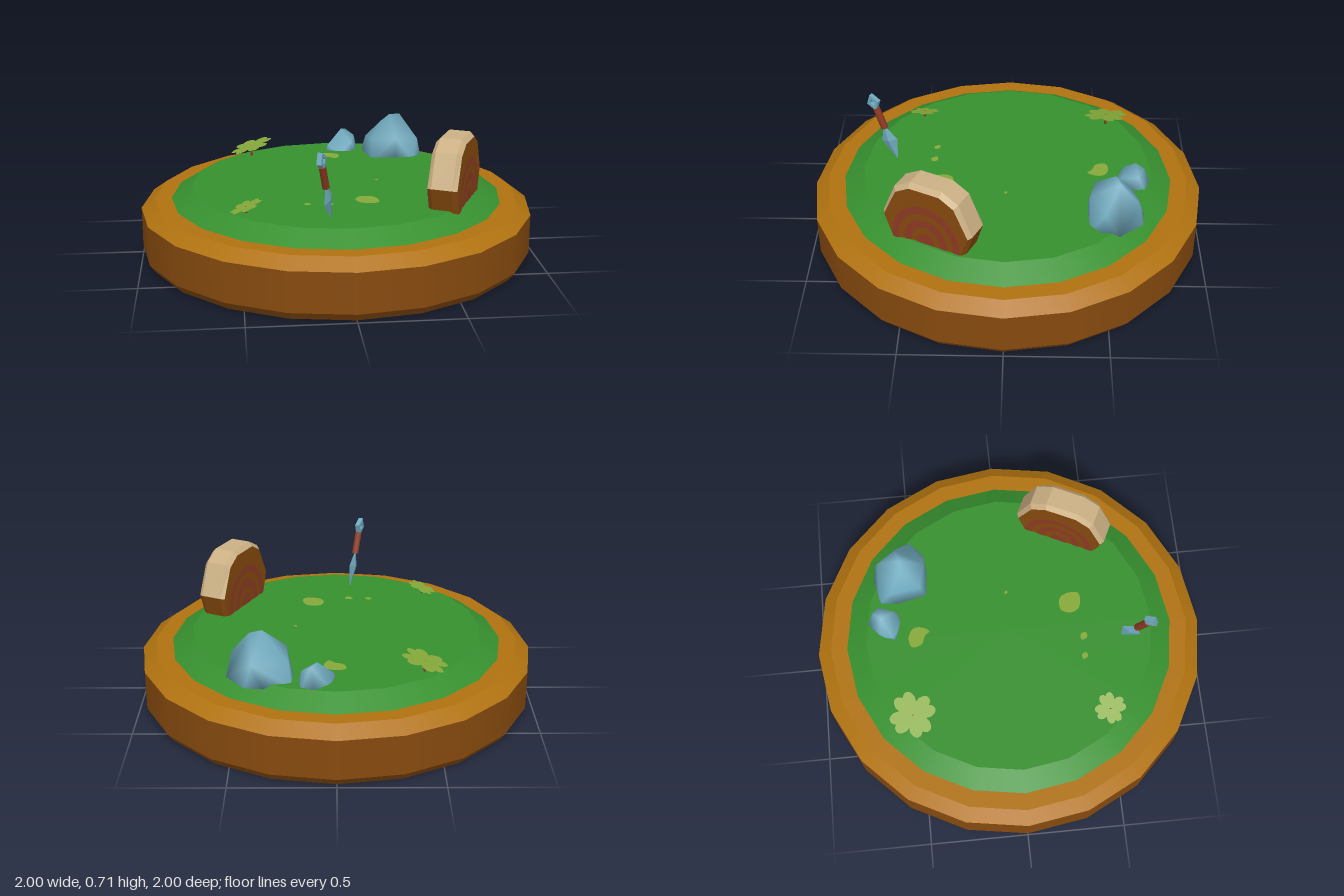
import * as THREE from 'three';
import { mergeVertices } from 'three/addons/utils/BufferGeometryUtils.js';
import { ConvexGeometry } from 'three/addons/geometries/ConvexGeometry.js';

const mat = (name, color, extra = {}) => {
  const m = new THREE.MeshStandardMaterial({ color, ...extra });
  m.name = name;
  return m;
};
const both = { side: THREE.DoubleSide };
const V = (x, y, z) => new THREE.Vector3(x, y, z);

export function createModel() {
  const brown = mat('wood brown', 0x864a0e, both);
  const gold = mat('rim gold', 0xb0720f, both);
  const green = mat('grass green', 0x37902f, both);
  const blue = mat('stone blue', 0x6fa9bd);
  const tan = mat('bark tan', 0xcbb084, both);
  const red = mat('red brown', 0x8c3a22, both);
  const lime = mat('leaf lime', 0x86a93a, both);

  const model = new THREE.Group();
  const add = (parent, name, geometry, material, x = 0, y = 0, z = 0) => {
    const mesh = new THREE.Mesh(geometry, material);
    mesh.name = name;
    mesh.position.set(x, y, z);
    parent.add(mesh);
    return mesh;
  };
  const group = (name, x, y, z) => {
    const g = new THREE.Group();
    g.name = name;
    g.position.set(x, y, z);
    model.add(g);
    return g;
  };

  // Hollow round tray and grass mound: one lathe band per crisp face
  const TOP = 0.353;
  const bands = [
    ['bottomLip', brown, 0.95, 0, 0.97, 0],
    ['bottomBevel', brown, 0.97, 0, 1, 0.04],
    ['trayWall', brown, 1, 0.04, 1, 0.24],
    ['rimBevel', gold, 1, 0.24, 0.93, 0.29],
    ['rimTop', gold, 0.93, 0.29, 0.845, 0.29],
    ['grassSlope', green, 0.845, 0.29, 0.74, TOP],
    ['grassTop', green, 0.74, TOP, 0, TOP],
  ];
  for (const [name, m, r0, y0, r1, y1] of bands) {
    const profile = [new THREE.Vector2(r0, y0), new THREE.Vector2(r1, y1)];
    add(model, name, new THREE.LatheGeometry(profile, 20), m);
  }

  // Smooth boulders: convex hull with shared normals
  const boulder = (name, points) => {
    const hull = new ConvexGeometry(points.map((p) => V(...p)));
    hull.deleteAttribute('normal');
    const geometry = mergeVertices(hull, 1e-4);
    geometry.computeVertexNormals();
    add(model, name, geometry, blue);
  };
  boulder('largeBoulder', [
    [0.21, 0.335, -0.66], [0.34, 0.335, -0.68], [0.43, 0.335, -0.67], [0.525, 0.335, -0.55],
    [0.52, 0.335, -0.46], [0.47, 0.335, -0.41], [0.37, 0.335, -0.4], [0.235, 0.335, -0.41], [0.2, 0.335, -0.57],
    [0.225, 0.43, -0.6], [0.24, 0.45, -0.44], [0.37, 0.46, -0.41], [0.5, 0.44, -0.48], [0.4, 0.44, -0.65],
    [0.3, 0.53, -0.53], [0.35, 0.57, -0.53], [0.41, 0.565, -0.55],
  ]);
  boulder('smallBoulder', [
    [0, 0.335, -0.58], [0.03, 0.335, -0.67], [0.1, 0.335, -0.73], [0.17, 0.335, -0.7],
    [0.18, 0.335, -0.62], [0.15, 0.335, -0.56], [0.08, 0.335, -0.55],
    [0.01, 0.38, -0.6], [0.09, 0.46, -0.65], [0.12, 0.45, -0.69], [0.165, 0.42, -0.66], [0.14, 0.4, -0.58],
  ]);

  // Log slice standing on edge, half sunk in the grass
  const log = group('logSlice', 0.55, 0, 0.342);
  log.rotation.y = 1.123;
  const mirrored = (half) => [...half, ...half.map(([u, y]) => [-u, y]).reverse()];
  const rim = mirrored([[0.2, 0.335], [0.24, 0.465], [0.17, 0.63], [0.085, 0.678]]);
  const cut = mirrored([[0.182, 0.335], [0.226, 0.46], [0.155, 0.612], [0.08, 0.656]]);
  const levels = [[cut, -0.074], [rim, -0.052], [rim, 0.052], [cut, 0.074]];
  const last = rim.length - 2;
  const barkStrip = (segments) => {
    const pos = [];
    for (const i of segments) {
      for (let k = 0; k < 3; k++) {
        const [[s0, z0], [s1, z1]] = [levels[k], levels[k + 1]];
        const [a0, b0, a1, b1] = [[...s0[i], z0], [...s0[i + 1], z0], [...s1[i], z1], [...s1[i + 1], z1]];
        pos.push(...a0, ...b0, ...a1, ...b0, ...b1, ...a1);
      }
    }
    const g = new THREE.BufferGeometry();
    g.setAttribute('position', new THREE.Float32BufferAttribute(pos, 3));
    g.computeVertexNormals();
    return g;
  };
  add(log, 'lowerBark', barkStrip([0, last]), brown);
  add(log, 'upperBark', barkStrip([1, 2, 3, 4, 5]), tan);

  // Cut faces with arched growth rings on both sides
  const toShape = (pts) => new THREE.Shape(pts.map(([x, y]) => new THREE.Vector2(x, y)));
  const arch = (r) => {
    const pts = [[r * 0.87, 0.337]];
    for (let i = 0; i <= 12; i++) {
      const a = (i / 12) * Math.PI;
      pts.push([r * 0.9 * Math.cos(a), 0.365 + r * Math.sin(a)]);
    }
    return [...pts, [-r * 0.87, 0.337]];
  };
  for (const turn of [0, Math.PI]) {
    const side = new THREE.Group();
    side.name = 'cutFace';
    side.rotation.y = turn;
    log.add(side);
    add(side, 'cutWood', new THREE.ShapeGeometry(toShape(cut)), brown, 0, 0, 0.074);
    for (const [outer, inner] of [[0.205, 0.165], [0.13, 0.085], [0.05, 0]]) {
      const pts = inner ? [...arch(outer), ...arch(inner).reverse()] : arch(outer);
      add(side, 'growthRing', new THREE.ShapeGeometry(toShape(pts)), red, 0, 0, 0.076);
    }
  }

  // Throwing dagger stuck in the ground, blade down
  const dagger = group('dagger', -0.08, TOP, 0.577);
  dagger.rotation.set(0, -2.026, -0.373);
  add(dagger, 'blade', new ConvexGeometry([
    V(0, -0.01, 0), V(0.05, 0.11, 0), V(-0.05, 0.11, 0), V(0, 0.11, 0.016), V(0, 0.11, -0.016), V(0, 0.2, 0),
  ]), blue);
  add(dagger, 'handle', new THREE.CylinderGeometry(0.019, 0.019, 0.12, 6), red, 0, 0.24, 0);
  const kite = (s) => [[0, 0.335 - 0.045 * s], [0.036 * s, 0.335], [0, 0.335 + 0.045 * s], [-0.036 * s, 0.335]];
  const pommel = toShape(kite(1));
  pommel.holes.push(toShape(kite(0.45)));
  add(dagger, 'pommelRing', new THREE.ExtrudeGeometry(pommel, { depth: 0.024, bevelEnabled: false }), blue, 0, 0, -0.012);

  // Four-leaf clovers, tilted on short stems
  const leaf = new THREE.Shape();
  leaf.moveTo(0, 0);
  leaf.bezierCurveTo(0.25, 0.15, 0.62, 0.5, 0.45, 0.85);
  leaf.bezierCurveTo(0.35, 1.08, 0.1, 1.02, 0, 0.85);
  leaf.bezierCurveTo(-0.1, 1.02, -0.35, 1.08, -0.45, 0.85);
  leaf.bezierCurveTo(-0.62, 0.5, -0.25, 0.15, 0, 0);
  const leafGeometry = new THREE.ShapeGeometry(leaf, 5).rotateX(-Math.PI / 2);
  for (const [x, y, z, size, tilt, spin] of [[-0.42, 0.41, -0.525, 0.113, 0.3, 0.45], [-0.475, 0.385, 0.465, 0.077, 0.36, 0.3]]) {
    const clover = group('clover', x, y, z);
    const head = new THREE.Group();
    head.name = 'cloverLeaves';
    head.rotation.z = tilt;
    clover.add(head);
    for (let i = 0; i < 4; i++) {
      const l = add(head, 'leaf', leafGeometry, lime);
      l.scale.setScalar(size);
      l.rotation.y = spin + (i * Math.PI) / 2;
    }
    const h = y - TOP;
    add(clover, 'stem', new THREE.CylinderGeometry(0.005, 0.007, h, 5), red, 0, -h / 2, 0);
  }

  // Flat moss patches on the grass
  const patch = (pts, x, z) => {
    const curve = new THREE.CatmullRomCurve3(pts.map(([px, pz]) => V(px, -pz, 0)), true);
    const g = new THREE.ShapeGeometry(new THREE.Shape(curve.getPoints(24).map((p) => new THREE.Vector2(p.x, p.y))));
    add(model, 'mossPatch', g.rotateX(-Math.PI / 2), lime, x, TOP + 0.003, z);
  };
  patch([[-0.05, -0.04], [0, -0.055], [0.05, -0.03], [0.055, 0.01], [0.03, 0.055], [0.005, 0.03], [-0.04, 0.01]], 0.005, -0.465);
  patch([[-0.055, 0], [-0.035, -0.05], [0.03, -0.05], [0.055, -0.01], [0.05, 0.05], [-0.03, 0.045]], 0.12, 0.33);
  for (const [x, z, r] of [[-0.177, 0.375, 0.017], [-0.07, 0.382, 0.02], [0.21, 0.005, 0.009]]) {
    patch([[-r, -r * 0.7], [r * 0.6, -r * 0.8], [r, r * 0.5], [-r * 0.3, r * 0.8]], x, z);
  }

  return model;
}
